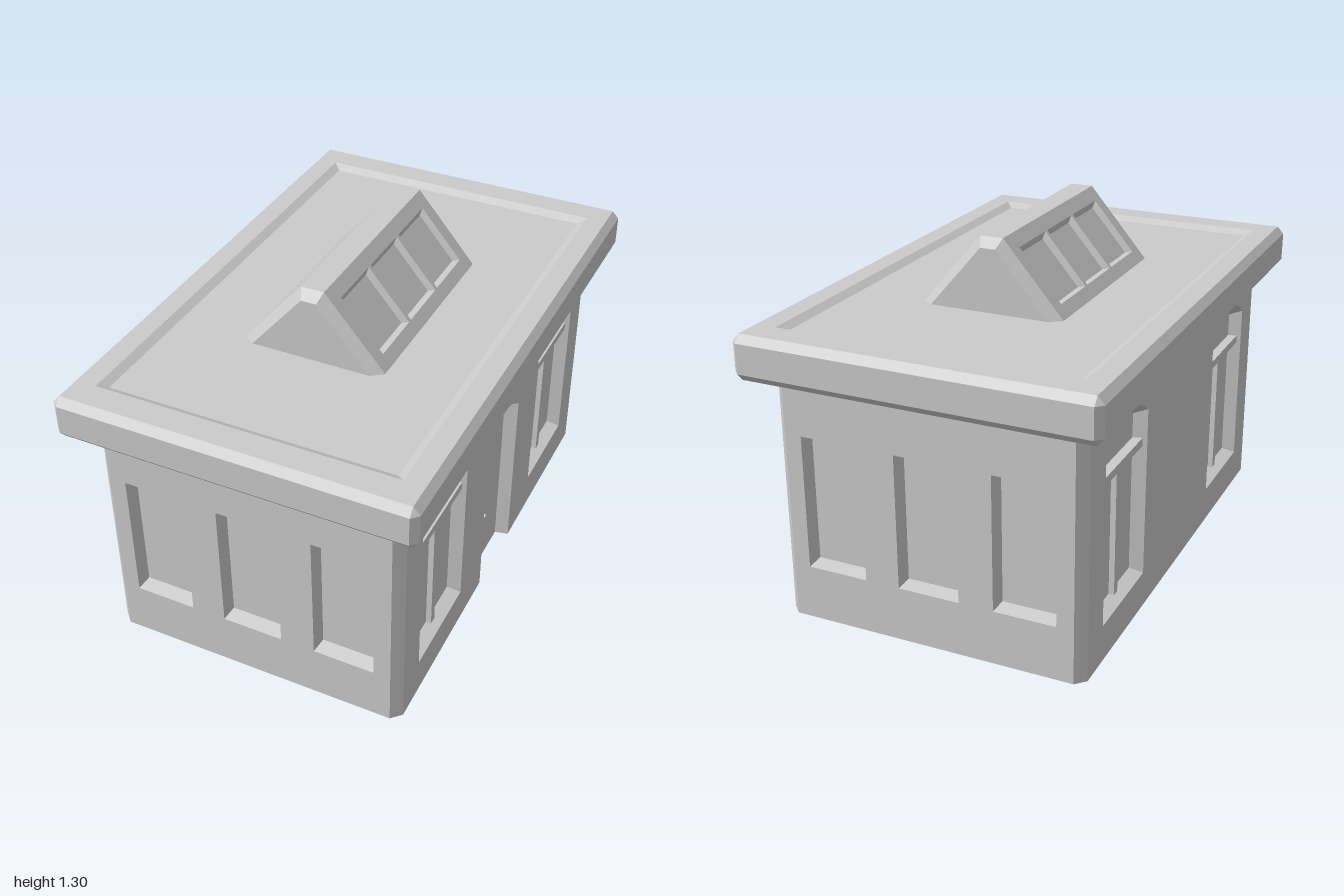
import * as THREE from 'three';

const material = new THREE.MeshStandardMaterial({ color: 0xcccccc, side: THREE.DoubleSide, flatShading: true });
const V = (x, y, z) => new THREE.Vector3(x, y, z);

function add(parent, name, geometry, x = 0, y = 0, z = 0) {
  const mesh = new THREE.Mesh(geometry, material);
  mesh.name = name;
  mesh.position.set(x, y, z);
  parent.add(mesh);
  return mesh;
}

// Flat faces joining successive rings of points
function loft(rings, closed = true) {
  const pos = [];
  const tri = (a, b, c) => {
    const area = b.clone().sub(a).cross(c.clone().sub(a)).length();
    if (area > 1e-9) for (const p of [a, b, c]) pos.push(p.x, p.y, p.z);
  };
  for (let r = 0; r + 1 < rings.length; r++) {
    const A = rings[r], B = rings[r + 1], n = A.length;
    for (let i = 0; i < (closed ? n : n - 1); i++) {
      const j = (i + 1) % n;
      tri(A[i], A[j], B[j]);
      tri(A[i], B[j], B[i]);
    }
  }
  const g = new THREE.BufferGeometry();
  g.setAttribute('position', new THREE.Float32BufferAttribute(pos, 3));
  g.computeVertexNormals();
  return g;
}

// Opening outline: bottom right, top (arched if rise > 0) right to left, bottom left
function outline({ x, hw, y0, y1, rise = 0 }) {
  const pts = [new THREE.Vector2(x + hw, y0)];
  if (rise) {
    const R = (hw * hw + rise * rise) / (2 * rise), half = Math.asin(hw / R), n = 5;
    for (let i = 0; i <= n; i++) {
      const a = half * (1 - 2 * i / n);
      pts.push(new THREE.Vector2(x + R * Math.sin(a), y1 - R + R * Math.cos(a)));
    }
  } else pts.push(new THREE.Vector2(x + hw, y1), new THREE.Vector2(x - hw, y1));
  pts.push(new THREE.Vector2(x - hw, y0));
  return pts;
}

// Panel facing +z with recessed openings, each with tapered reveals and a pane
function wall(parent, name, width, height, openings, depth, inset) {
  const group = new THREE.Group();
  group.name = name;
  const contour = [new THREE.Vector2(-width / 2, 0)], holes = [];
  for (const o of openings) {
    const outer = outline(o), floorLevel = o.y0 === 0;
    if (floorLevel) contour.push(...outer.slice().reverse());
    else holes.push(new THREE.Path(outer));
    const inner = outline({
      ...o, hw: o.hw - inset, y0: floorLevel ? 0 : o.y0 + inset * 1.3, y1: o.y1 - inset * 1.6,
    });
    add(group, 'reveal', loft([outer.map(p => V(p.x, p.y, 0)), inner.map(p => V(p.x, p.y, -depth))], !floorLevel));
    add(group, floorLevel ? 'doorLeaf' : 'pane', new THREE.ShapeGeometry(new THREE.Shape(inner)), 0, 0, -depth);
  }
  contour.push(new THREE.Vector2(width / 2, 0), new THREE.Vector2(width / 2, height), new THREE.Vector2(-width / 2, height));
  const shape = new THREE.Shape(contour);
  shape.holes = holes;
  add(group, 'wallFace', new THREE.ShapeGeometry(shape));
  parent.add(group);
  return group;
}

// Rectangular ring with cut corners, at height y
function ring(hx, hz, c, y) {
  return [
    V(hx - c, y, hz), V(hx, y, hz - c), V(hx, y, -hz + c), V(hx - c, y, -hz),
    V(-hx + c, y, -hz), V(-hx, y, -hz + c), V(-hx, y, hz - c), V(-hx + c, y, hz),
  ];
}

export function createModel() {
  const model = new THREE.Group();
  model.name = 'smallBuilding';
  const HX = 0.563, HZ = 0.9, C = 0.035, H = 0.905, DEPTH = 0.05;

  // Front and back walls with three plain windows
  const plain = [-0.353, 0, 0.353].map(x => ({ x, hw: 0.113, y0: 0.2, y1: 0.695 }));
  for (const s of [1, -1]) {
    const w = wall(model, s > 0 ? 'frontWall' : 'backWall', 2 * (HX - C), H, plain, DEPTH, 0.011);
    w.position.z = s * HZ;
    if (s < 0) w.rotation.y = Math.PI;
  }

  // Side walls with arched windows; the door is on one side only
  const arched = [-0.548, 0.548].map(x => ({ x, hw: 0.19, y0: 0.135, y1: 0.835, rise: 0.07 }));
  const door = { x: 0, hw: 0.152, y0: 0, y1: 0.715, rise: 0.062 };
  for (const s of [1, -1]) {
    const w = wall(model, s > 0 ? 'doorSideWall' : 'plainSideWall', 2 * (HZ - C), H,
      s > 0 ? [arched[0], door, arched[1]] : arched, DEPTH, 0.012);
    w.position.x = s * HX;
    w.rotation.y = s * Math.PI / 2;
    for (const { x } of arched) {
      add(w, 'transom', new THREE.BoxGeometry(0.376, 0.03, 0.034), x, 0.642, -DEPTH + 0.017);
      add(w, 'mullion', new THREE.BoxGeometry(0.03, 0.48, 0.02), x, 0.389, -DEPTH + 0.01);
    }
    if (s > 0) {
      // Raised door panel and lever handle
      const panel = new THREE.Shape(outline({ x: 0, hw: 0.068, y0: 0.045, y1: 0.638, rise: 0.03 }));
      add(w, 'doorPanel', new THREE.ExtrudeGeometry(panel, {
        depth: 0.002, bevelEnabled: true, bevelSegments: 1, bevelThickness: 0.003, bevelSize: 0.004,
      }), 0, 0, -DEPTH);
      const stem = add(w, 'handleStem', new THREE.CylinderGeometry(0.006, 0.006, 0.03, 8), -0.125, 0.278, -DEPTH + 0.015);
      stem.rotation.x = Math.PI / 2;
      add(w, 'handleLever', new THREE.BoxGeometry(0.052, 0.015, 0.01), -0.109, 0.278, -DEPTH + 0.03);
    }
  }

  // Chamfered wall corners
  for (const sx of [1, -1]) for (const sz of [1, -1]) {
    const strip = add(model, 'wallCorner', new THREE.PlaneGeometry(C * Math.SQRT2, H),
      sx * (HX - C / 2), H / 2, sz * (HZ - C / 2));
    strip.rotation.y = Math.atan2(sx, sz);
  }

  // Overhanging bevelled roof slab with a shallow sunken top
  const b = 0.025, deck = 1.045;
  add(model, 'roof', loft([
    ring(0, 0, 0, 0.9), ring(0.65 - b, 1 - b, 0, 0.9), ring(0.65, 1, b, 0.928), ring(0.65, 1, b, 1.035),
    ring(0.65 - b, 1 - b, 0, 1.062), ring(0.55, 0.878, 0, 1.062), ring(0.52, 0.848, 0, deck), ring(0, 0, 0, deck),
  ]));

  // Ridge skylight: two sloped sides with three panes each, flat ridge, bevelled ends
  const skylight = new THREE.Group();
  skylight.name = 'skylight';
  model.add(skylight);
  const base = 0.265, ridge = 0.042, top = 1.305, half = 0.39;
  const run = base - ridge, rise = top - deck, slope = Math.hypot(run, rise);
  const panes = [-0.23, 0, 0.23].map(x => ({ x, hw: 0.107, y0: 0.05, y1: 0.288 }));
  for (const s of [1, -1]) {
    const side = wall(skylight, 'skylightSide', 2 * half, slope, panes, 0.022, 0.01);
    side.position.set(s * base, deck, 0);
    side.rotation.set(-Math.atan2(run, rise), s * Math.PI / 2, 0, 'YXZ');

    const profile = (w, t, y, z) => [V(w, deck, z), V(t, y, z), V(-t, y, z), V(-w, deck, z)];
    const centre = Array.from({ length: 4 }, () => V(0, 1.13, 0.422));
    const end = add(skylight, 'skylightEnd', loft([
      profile(base, ridge, top, half), profile(0.222, 0.028, 1.272, 0.422), centre,
    ]));
    if (s < 0) end.rotation.y = Math.PI;
  }
  const cap = add(skylight, 'skylightRidge', new THREE.PlaneGeometry(2 * ridge, 2 * half), 0, top, 0);
  cap.rotation.x = -Math.PI / 2;

  return model;
}
